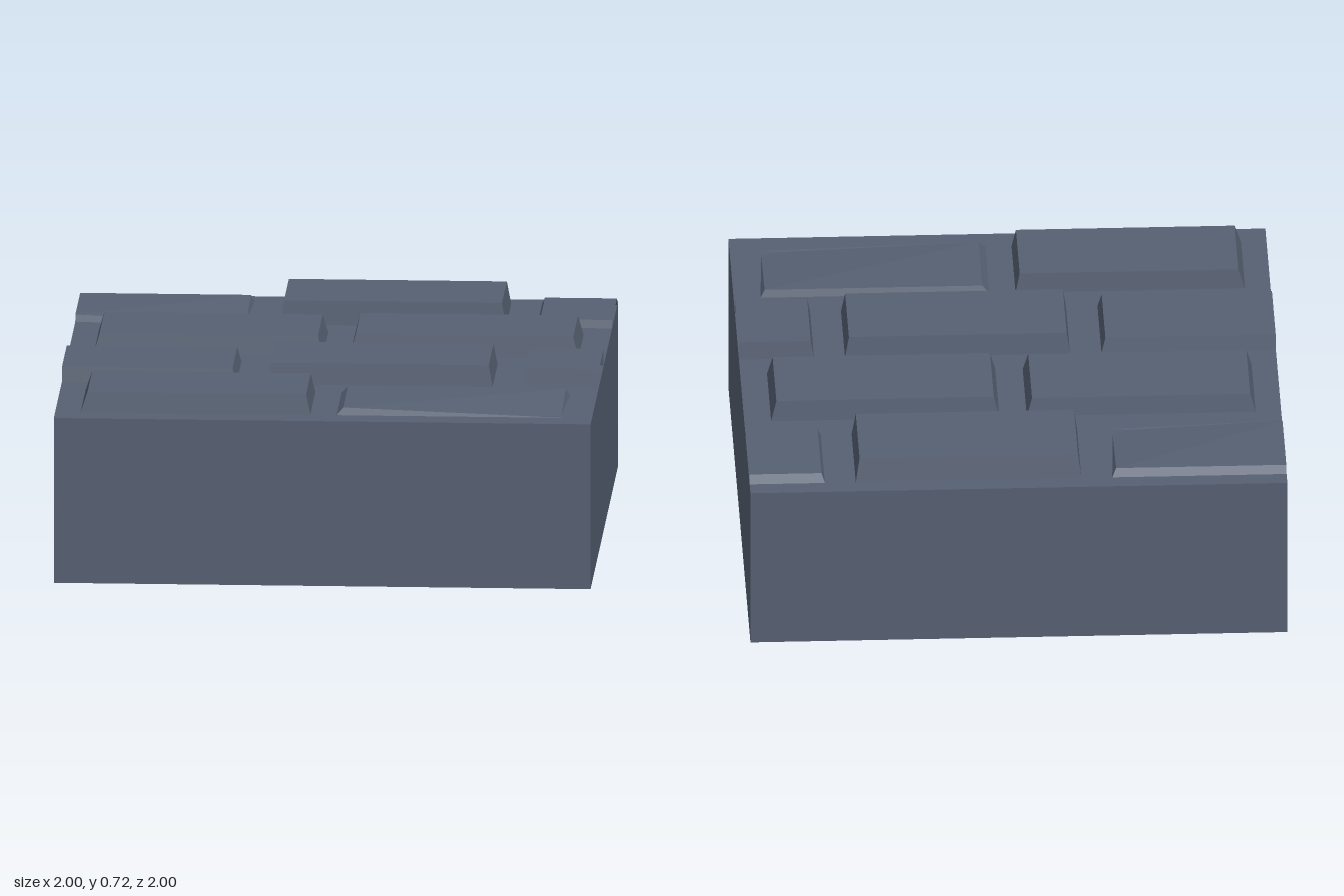
import * as THREE from 'three';

const BASE_TOP = 0.63;

const slate = new THREE.MeshStandardMaterial({ color: 0x566072, side: THREE.DoubleSide });
slate.name = 'slate';

// Hollow block, open underneath
function foundation() {
  const geo = new THREE.BoxGeometry(2, BASE_TOP, 2);
  const index = Array.from(geo.index.array);
  index.splice(18, 6); // drop the bottom face
  geo.setIndex(index);
  geo.clearGroups();
  geo.translate(0, BASE_TOP / 2, 0);
  return geo;
}

// Bevelled paver: outer footprint, inset top, optional sunken front-right corner.
// Ends lying on the block edge (x = +-1) are cut straight and left open.
function paver({ x, z, top, inset, sunk }) {
  const [x0, x1] = x, [z0, z1] = z;
  const [l, r, b, f] = inset; // left, right, back, front bevels
  const cutL = x0 <= -1, cutR = x1 >= 1;
  const tx0 = cutL ? x0 : x0 + l, tx1 = cutR ? x1 : x1 - r;
  const corners = [[x0, z0], [x1, z0], [x1, z1], [x0, z1]]; // BL, BR, FR, FL
  const low = corners.map(([cx, cz]) => [cx, BASE_TOP, cz]);
  const high = [
    [tx0, top, z0 + b], [tx1, top, z0 + b],
    [tx1, sunk ? BASE_TOP - 0.003 : top, z1 - f], [tx0, top, z1 - f],
  ];
  const pos = [];
  const tri = (...p) => p.forEach((v) => pos.push(...v));
  // Top, split along the back-right to front-left diagonal
  tri(high[0], high[3], high[1]);
  tri(high[1], high[3], high[2]);
  // Bevelled sides
  for (let i = 0; i < 4; i++) {
    const j = (i + 1) % 4;
    if ((i === 1 && cutR) || (i === 3 && cutL)) continue;
    tri(low[i], high[i], high[j]);
    tri(low[i], high[j], low[j]);
  }
  const geo = new THREE.BufferGeometry();
  geo.setAttribute('position', new THREE.Float32BufferAttribute(pos, 3));
  geo.computeVertexNormals();
  return geo;
}

// Rows from back to front; each paver is [x0, x1, top height, sunk corner]
const rows = [
  { z: [-0.93, -0.55], inset: [0.012, 0.015, 0.022, 0.01],
    pavers: [[-1, -0.35, 0.657, true], [-0.235, 0.605, 0.72], [0.72, 1, 0.66]] },
  { z: [-0.437, -0.065], inset: [0.02, 0.02, 0.012, 0.014],
    pavers: [[-0.905, -0.052, 0.7], [0.05, 0.9, 0.708]] },
  { z: [0.05, 0.417], inset: [0.012, 0.015, 0.012, 0.012],
    pavers: [[-1, -0.35, 0.686], [-0.233, 0.605, 0.71], [0.72, 1, 0.697]] },
  { z: [0.533, 0.9], inset: [0.025, 0.016, 0.012, 0.012],
    pavers: [[-0.905, -0.05, 0.705], [0.048, 0.9, 0.657, true]] },
];

export function createModel() {
  const model = new THREE.Group();
  model.name = 'pavedBlock';

  const block = new THREE.Mesh(foundation(), slate);
  block.name = 'foundation';
  model.add(block);

  rows.forEach(({ z, inset, pavers }, i) => {
    const row = new THREE.Group();
    row.name = `paverRow${i + 1}`;
    pavers.forEach(([x0, x1, top, sunk], j) => {
      const mesh = new THREE.Mesh(paver({ x: [x0, x1], z, top, inset, sunk }), slate);
      mesh.name = `paver${i + 1}_${j + 1}`;
      row.add(mesh);
    });
    model.add(row);
  });
  return model;
}
